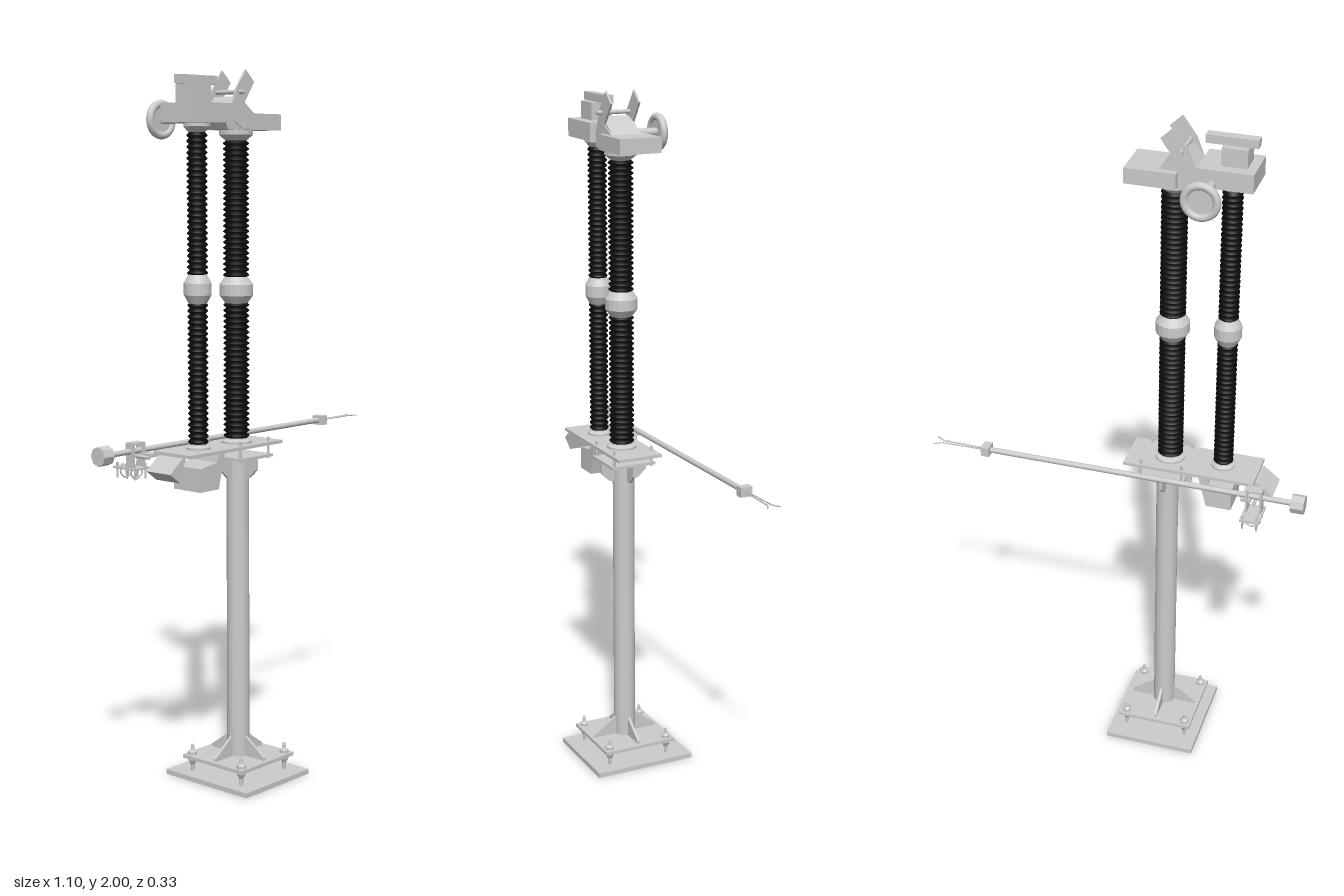
import * as THREE from 'three';

const grey = new THREE.MeshStandardMaterial({ color: 0xcccccc, flatShading: true });
const smooth = new THREE.MeshStandardMaterial({ color: 0xcccccc, side: THREE.DoubleSide });
const black = new THREE.MeshStandardMaterial({ color: 0x0c0c0c });

export function createModel() {
  const root = new THREE.Group();
  const CX = -0.123, CZ = 0.014; // mast axis

  const add = (name, geo, x = 0, y = 0, z = 0, mat = grey) => {
    const m = new THREE.Mesh(geo, mat);
    m.name = name;
    m.position.set(x, y, z);
    root.add(m);
    return m;
  };
  // box given by its limits
  const box = (name, x0, x1, y0, y1, z0, z1) =>
    add(name, new THREE.BoxGeometry(x1 - x0, y1 - y0, z1 - z0), (x0 + x1) / 2, (y0 + y1) / 2, (z0 + z1) / 2);
  // cylinder between two points
  const bar = (name, a, b, r, sides = 12, mat = smooth) => {
    const p = new THREE.Vector3(...a), q = new THREE.Vector3(...b);
    const m = add(name, new THREE.CylinderGeometry(r, r, p.distanceTo(q), sides), 0, 0, 0, mat);
    m.position.copy(p).lerp(q, 0.5);
    m.quaternion.setFromUnitVectors(new THREE.Vector3(0, 1, 0), q.sub(p).normalize());
    return m;
  };
  // outline in x,y extruded from z0 to z1
  const slab = (name, pts, z0, z1) => {
    const shape = new THREE.Shape(pts.map(p => new THREE.Vector2(...p)));
    return add(name, new THREE.ExtrudeGeometry(shape, { depth: z1 - z0, bevelEnabled: false }), 0, 0, z0);
  };
  const lathe = (name, pts, x, y, z, mat = smooth, seg = 24) =>
    add(name, new THREE.LatheGeometry(pts.map(p => new THREE.Vector2(...p)), seg), x, y, z, mat);
  // four ribs around the mast
  const ribs = (name, pts, y) => {
    for (let i = 0; i < 4; i++) {
      const m = slab(name, pts, -0.004, 0.004);
      const pivot = new THREE.Group();
      pivot.name = name + 'Pivot';
      pivot.position.set(CX, y, CZ);
      pivot.rotation.y = i * Math.PI / 2;
      pivot.add(m);
      root.add(pivot);
    }
  };

  // foundation, foot plate and mast
  box('foundationPlate', -0.256, 0.015, 0, 0.014, -0.146, 0.163);
  box('footPlate', -0.235, -0.01, 0.054, 0.064, -0.1, 0.127);
  add('mast', new THREE.CylinderGeometry(0.032, 0.032, 0.87, 24), CX, 0.497, CZ, smooth);
  ribs('footRib', [[0.03, 0], [0.1, 0], [0.1, 0.008], [0.03, 0.058]], 0.064);
  for (const x of [-0.215, -0.03]) for (const z of [-0.08, 0.108]) {
    lathe('anchorBolt', [[0, 0], [0.005, 0], [0.006, 0.02], [0.013, 0.034], [0.013, 0.058],
      [0.006, 0.064], [0.004, 0.079], [0, 0.079]], x, 0.014, z, grey, 8);
  }

  // mast head and insulator platform
  box('headPlate', -0.188, -0.052, 0.93, 0.938, -0.055, 0.083);
  ribs('headRib', [[0.03, 0], [0.03, -0.055], [0.045, -0.055], [0.072, -0.03], [0.072, 0]], 0.93);
  box('platform', -0.39, -0.01, 0.963, 0.972, -0.055, 0.083);
  for (const x of [-0.18, -0.06]) for (const z of [-0.045, 0.073])
    bar('levellingStud', [x, 0.925, z], [x, 0.985, z], 0.004, 8);

  // ribbed insulator columns with a metal joint halfway
  const insulator = (x, z, r, y0, y1, jointY, jr, jh) => {
    const stack = (a, b) => {
      const n = 25, h = (b - a) / n, pts = [];
      for (let i = 0; i < n; i++) pts.push([r * 0.77, i * h], [r, (i + 0.4) * h], [r, (i + 0.55) * h]);
      pts.push([r * 0.77, b - a]);
      lathe('insulatorSheds', pts, x, a, z, black);
    };
    stack(y0, jointY - jh);
    stack(jointY + jh, y1);
    lathe('insulatorJoint', [[0, -jh - 0.004], [jr * 0.65, -jh - 0.004], [jr, -jh * 0.45], [jr, jh * 0.45],
      [jr * 0.65, jh + 0.004], [0, jh + 0.004]], x, jointY, z, grey, 20);
    lathe('insulatorFoot', [[0, 0], [r * 1.2, 0], [r * 1.2, 0.008], [r * 0.85, 0.014], [r * 0.85, 0.024], [0, 0.024]],
      x, 0.97, z, grey, 20);
    lathe('insulatorCap', [[0, 0], [r * 0.8, 0], [r * 1.3, 0.015], [r * 1.3, 0.03], [0, 0.03]], x, y1, z, grey, 20);
  };
  insulator(-0.13, 0.016, 0.036, 0.985, 1.808, 1.4, 0.047, 0.034);
  insulator(-0.286, 0.016, 0.028, 0.985, 1.828, 1.41, 0.038, 0.036);

  // switch head on top of the columns
  box('driveHousing', -0.355, -0.205, 1.853, 1.905, -0.052, 0.075);
  box('contactHousing', -0.15, -0.01, 1.836, 1.88, -0.052, 0.075);
  slab('housingBridge', [[-0.215, 1.853], [-0.205, 1.836], [-0.145, 1.836], [-0.1, 1.88], [-0.145, 1.915],
    [-0.17, 1.925], [-0.205, 1.885]], -0.03, 0.056);
  box('contactStem', -0.33, -0.26, 1.9, 1.955, -0.02, 0.045);
  box('contactBar', -0.353, -0.213, 1.955, 1.978, -0.003, 0.025);
  for (const z of [-0.03, 0.056])
    slab('tiltedBlade', [[-0.205, 1.87], [-0.175, 1.945], [-0.137, 1.997], [-0.103, 1.965], [-0.145, 1.905],
      [-0.1, 1.88], [-0.15, 1.84]], z - 0.003, z + 0.003);
  bar('bladeAxle', [-0.16, 1.937, -0.05], [-0.16, 1.937, 0.075], 0.006);
  bar('ringStem', [-0.245, 1.865, -0.155], [-0.245, 1.865, -0.04], 0.012);
  add('shieldRing', new THREE.TorusGeometry(0.043, 0.011, 12, 32), -0.245, 1.865, -0.157, smooth);
  bar('shieldDisc', [-0.245, 1.865, -0.16], [-0.245, 1.865, -0.152], 0.04, 32);

  // drive boxes under the platform
  slab('gearBox', [[-0.325, 0.86], [-0.252, 0.86], [-0.225, 0.964], [-0.25, 0.964], [-0.258, 0.935],
    [-0.325, 0.925]], -0.04, 0.06);
  slab('sideBox', [[-0.443, 0.925], [-0.405, 0.897], [-0.382, 0.963], [-0.395, 0.963]], -0.03, 0.06);

  // swinging earthing rod with counterweight, clamp and fork
  const RY = 0.969, RZ = -0.105;
  bar('earthingRod', [-0.52, RY, RZ], [0.385, RY, RZ], 0.008);
  bar('counterweight', [-0.55, RY, RZ], [-0.513, RY, RZ], 0.027, 8, grey);
  box('forkClamp', 0.374, 0.398, RY - 0.014, RY + 0.014, RZ - 0.018, RZ + 0.018);
  for (const s of [-1, 1]) {
    const a = [0.39, RY, RZ + s * 0.003], b = [0.522, RY, RZ + s * 0.006], c = [0.545, RY, RZ + s * 0.02];
    bar('forkProng', a, b, 0.002, 6);
    bar('forkTip', b, c, 0.002, 6);
  }

  // rod bearing with pins and bent hooks
  box('bearingPlate', -0.436, -0.38, 0.918, 0.924, -0.165, -0.08);
  for (const x of [-0.428, -0.388]) {
    for (const z of [-0.157, -0.12, -0.088]) bar('bearingPin', [x, 0.892, z], [x, 0.935, z], 0.003, 6);
    box('bearingCheek', x - 0.003, x + 0.003, 0.924, 0.99, -0.12, -0.09);
  }
  box('bearingCap', -0.43, -0.386, 0.987, 0.993, -0.12, -0.09);
  bar('bearingAxle', [-0.41, 0.955, -0.125], [-0.41, 0.955, -0.05], 0.005, 8);
  for (const z of [-0.14, -0.1]) {
    const hook = add('bentHook', new THREE.TorusGeometry(0.022, 0.0025, 6, 16, Math.PI * 1.3), -0.41, 0.915, z, smooth);
    hook.rotation.z = Math.PI * 0.7;
  }
  box('bearingBracket', -0.4, -0.37, 0.955, 0.963, -0.12, -0.05);

  return root;
}
